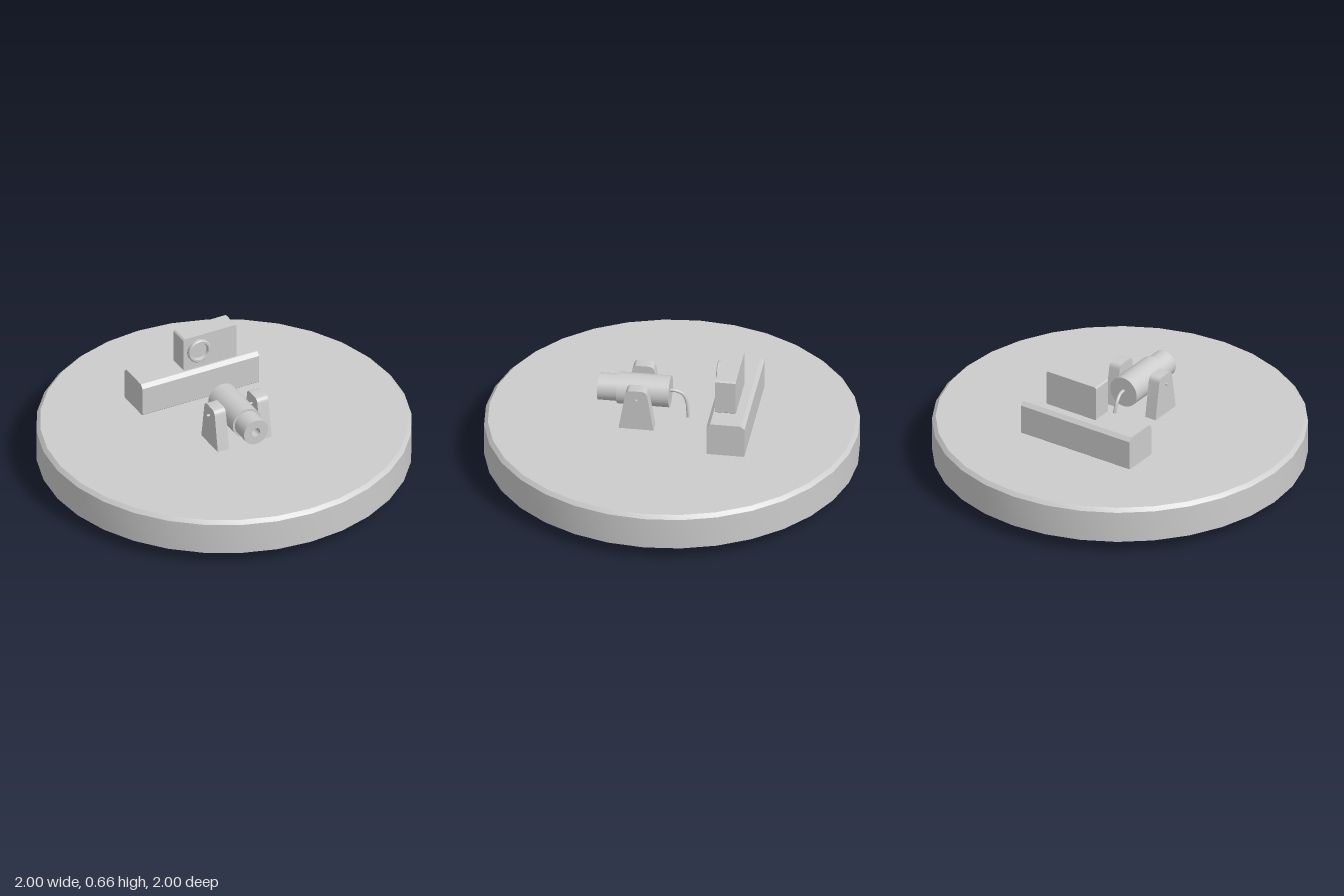
import * as THREE from 'three';
import { toCreasedNormals } from 'three/addons/utils/BufferGeometryUtils.js';

const MID = -0.015; // centre line of the mounted parts

export function createModel() {
  const model = new THREE.Group();
  model.name = 'robotPlatform';
  const material = new THREE.MeshStandardMaterial({ color: 0xcccccc });

  const add = (name, geometry, x = 0, y = 0, z = 0) => {
    const mesh = new THREE.Mesh(geometry, material);
    mesh.name = name;
    mesh.position.set(x, y, z);
    model.add(mesh);
    return mesh;
  };

  // Turned solid from [radius, height] pairs, sharp at its steps
  const turned = (pairs, sides = 32) => toCreasedNormals(
    new THREE.LatheGeometry(pairs.map(p => new THREE.Vector2(...p)), sides), 0.5);

  // Same, with its axis along z
  const turnedZ = pairs => turned(pairs).rotateX(Math.PI / 2);

  const shapeOf = pairs => new THREE.Shape(pairs.map(p => new THREE.Vector2(...p)));

  // Outline in (z, y), extruded along x and centred on it
  const sideExtrude = (shape, width) => {
    const g = new THREE.ExtrudeGeometry(shape, { depth: width, bevelEnabled: false, curveSegments: 6 });
    return toCreasedNormals(g.translate(0, 0, -width / 2).rotateY(-Math.PI / 2), 0.5);
  };

  // Rectangle with clipped corners
  const clipped = (w, h, c) => {
    const a = w / 2, b = h / 2;
    return shapeOf([[-a + c, -b], [a - c, -b], [a, -b + c], [a, b - c],
      [a - c, b], [-a + c, b], [-a, b - c], [-a, -b + c]]);
  };

  // Round base with a bevelled rim
  add('base', turned([[0, 0.073], [1, 0.073], [1, 0.25], [0.98, 0.27], [0, 0.27]]));

  // Two wheels and a ball caster under the base
  for (const side of [-1, 1]) {
    const wheel = new THREE.CylinderGeometry(0.106, 0.106, 0.09, 32).rotateZ(Math.PI / 2);
    add(side > 0 ? 'leftWheel' : 'rightWheel', wheel, MID + side * 0.445, 0.106, 0.315);
  }
  add('caster', new THREE.SphereGeometry(0.066, 24, 16), MID, 0.074, -0.602);

  // Long housing at the rear
  add('rearHousing', sideExtrude(clipped(0.205, 0.202, 0.02), 0.7), MID, 0.356, -0.338);

  // Sensor box on the housing, with a hollow lens ring
  const box = new THREE.ExtrudeGeometry(clipped(0.32, 0.2, 0.008), { depth: 0.11, bevelEnabled: false });
  add('sensorBox', box, 0.055, 0.555, -0.375);
  add('lensRing', turnedZ([[0.067, 0], [0.067, 0.018], [0.062, 0.023], [0.051, 0.023], [0.047, 0.005], [0, 0.005]]),
    MID, 0.565, -0.266);

  // Barrel with a narrower muzzle and a bore
  add('barrel', turnedZ([[0, 0.01], [0.085, 0.01], [0.085, 0.29], [0.073, 0.29],
    [0.073, 0.395], [0.025, 0.395], [0.025, 0.3], [0, 0.3]]), MID, 0.422, 0);

  // Tapered supports and pivot pins either side of the barrel
  const outline = new THREE.Shape();
  outline.moveTo(0.077, 0.27);
  outline.lineTo(0.265, 0.27);
  outline.lineTo(0.231, 0.475);
  outline.quadraticCurveTo(0.226, 0.505, 0.2, 0.505);
  outline.lineTo(0.142, 0.505);
  outline.quadraticCurveTo(0.116, 0.505, 0.111, 0.475);
  outline.closePath();
  for (const side of [-1, 1]) {
    const label = side > 0 ? 'left' : 'right';
    add(label + 'Support', sideExtrude(outline, 0.067), MID + side * 0.128);
    add(label + 'Pin', new THREE.CylinderGeometry(0.007, 0.007, 0.1, 10).rotateZ(Math.PI / 2),
      MID + side * 0.128, 0.45, 0.17);
  }

  // Cable from the back of the barrel into the base
  const path = new THREE.CatmullRomCurve3([
    [MID, 0.43, 0.02], [MID - 0.002, 0.428, -0.02], [MID - 0.008, 0.405, -0.057],
    [MID - 0.008, 0.36, -0.077], [MID - 0.002, 0.31, -0.083], [MID - 0.004, 0.26, -0.083],
  ].map(p => new THREE.Vector3(...p)));
  add('cable', new THREE.TubeGeometry(path, 24, 0.009, 10));

  return model;
}
